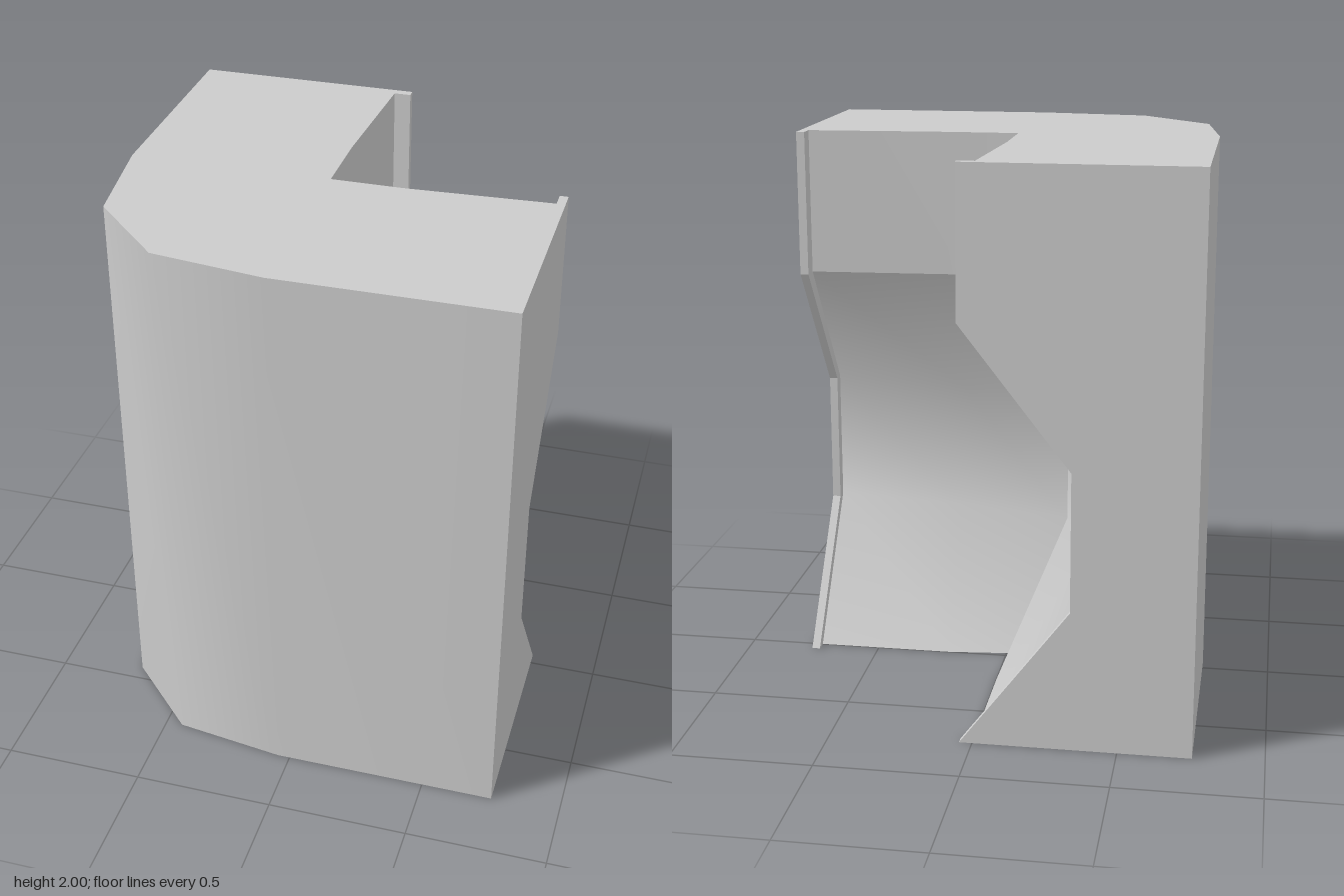
import * as THREE from 'three';

const H = 0.755; // half width of the block
const LIP = 0.725; // inner side of the edge lip
const smooth = new THREE.MeshStandardMaterial({ color: 0xcccccc });
const flat = new THREE.MeshStandardMaterial({ color: 0xcccccc, flatShading: true });

// Heights with the depth of the inner face at corner, middle, end, and of the lip
const levels = [
  { y: 2.0, corner: 0.04, mid: 0.04, end: 0.015, lip: -0.045 },
  { y: 1.48, corner: 0.04, mid: 0.04, end: 0.015, lip: -0.045 },
  { y: 0.99, corner: 0.21, mid: 0.31, end: 0.38, lip: 0.335 },
  { y: 0.5, corner: 0.21, mid: 0.31, end: 0.38, lip: 0.335 },
  { y: 0.0, corner: 0.025, mid: 0.0, end: 0.0, lip: -0.045 },
];

// Outer wall in plan (x, z), from the back right corner round to the front left
const outer = [[-H, -H], [-H, 0.045], [-0.7, 0.44], [-0.44, 0.7], [-0.045, H], [H, H]];

// Reflection across the diagonal that swaps the two arms
const reflect = ([x, z]) => [-z, -x];

// Surface through rows (top to bottom) of points listed left to right as seen
function surface(name, rows, material) {
  const n = rows[0].length;
  const index = [];
  for (let r = 0; r < rows.length - 1; r++) {
    for (let c = 0; c < n - 1; c++) {
      const a = r * n + c, b = a + n;
      index.push(a, b, b + 1, a, b + 1, a + 1);
    }
  }
  const geometry = new THREE.BufferGeometry();
  geometry.setAttribute('position', new THREE.Float32BufferAttribute(rows.flat(2), 3));
  geometry.setIndex(index);
  geometry.computeVertexNormals();
  const mesh = new THREE.Mesh(geometry, material);
  mesh.name = name;
  return mesh;
}

// Inner points of one arm, from the end to the corner
const innerEdge = (l) => [[H, l.lip], [LIP, l.lip], [LIP, l.end], [0.22, l.mid], [-l.corner, l.corner]];

function createArm(name, mirrored) {
  const arm = new THREE.Group();
  arm.name = name;
  const add = (part, set, plan, material) => {
    const rows = set.map((l) => {
      const pts = plan(l);
      const placed = mirrored ? pts.map(reflect).reverse() : pts;
      return placed.map(([x, z]) => [x, l.y, z]);
    });
    arm.add(surface(part, rows, material));
  };
  add('upperInnerWall', levels.slice(0, 2), (l) => innerEdge(l).slice(2), smooth);
  add('hollowInnerWall', levels.slice(1), (l) => innerEdge(l).slice(2), smooth);
  add('lipEdge', levels, (l) => innerEdge(l).slice(0, 2), flat);
  add('lipSide', levels, (l) => innerEdge(l).slice(1, 3), flat);
  add('endFace', levels, (l) => [[H, H], [H, l.lip]], flat);
  return arm;
}

// Horizontal face closing the block at one level
function createCap(name, level, up) {
  const inner = innerEdge(level);
  const outline = [...outer, ...inner, ...inner.slice(0, -1).reverse().map(reflect)];
  const shape = new THREE.Shape(outline.map(([x, z]) => new THREE.Vector2(x, up ? -z : z)));
  const geometry = new THREE.ShapeGeometry(shape);
  geometry.rotateX(up ? -Math.PI / 2 : Math.PI / 2);
  geometry.translate(0, level.y, 0);
  const mesh = new THREE.Mesh(geometry, flat);
  mesh.name = name;
  return mesh;
}

export function createModel() {
  const group = new THREE.Group();
  group.name = 'cornerBlock';
  const outerRows = [2, 0].map((y) => outer.map(([x, z]) => [x, y, z]));
  group.add(
    surface('outerWall', outerRows, smooth),
    createArm('frontArm', false),
    createArm('backArm', true),
    createCap('topFace', levels[0], true),
    createCap('bottomFace', levels[4], false),
  );
  return group;
}
